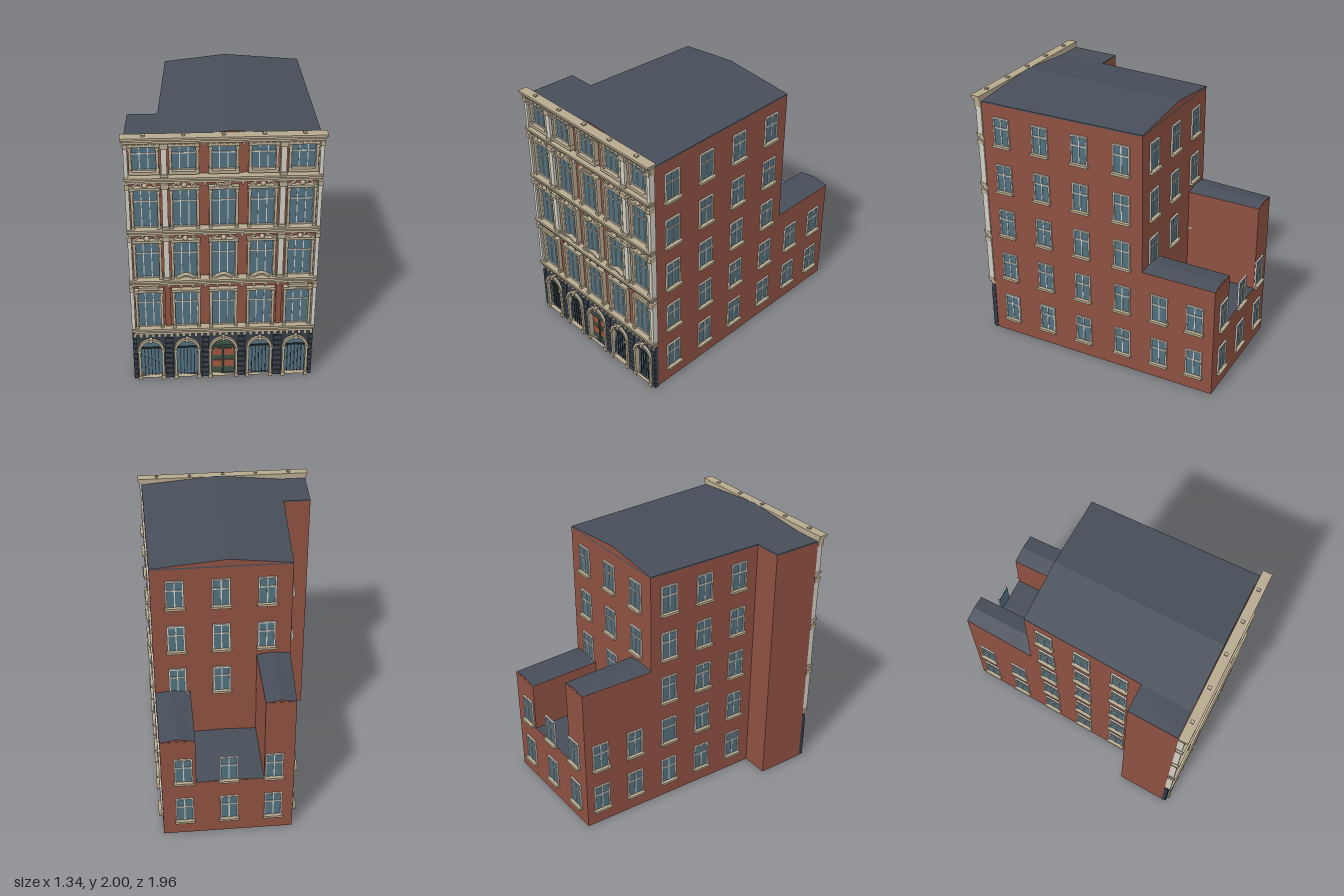
import * as THREE from 'three';

const mat = (color) => new THREE.MeshStandardMaterial({ color, side: THREE.DoubleSide });
const BRICK = mat(0x8f5142), ROOF = mat(0x474e59), GLASS = mat(0x50707f), STONE = mat(0xb6a98f);
const WHITE = mat(0xd0ccc2), SLATE = mat(0x353d47), GREEN = mat(0x3f5145), PANEL = mat(0xa2543f), IRON = mat(0x2d3338);
const FRONT = 0.9, BAYS = [-0.52, -0.26, 0, 0.26, 0.52];

function add(parent, name, geo, material, x = 0, y = 0, z = 0) {
  const m = new THREE.Mesh(geo, material);
  m.name = name;
  m.position.set(x, y, z);
  parent.add(m);
  return m;
}

// Box given by its extents
function box(parent, name, material, x0, x1, y0, y1, z0, z1) {
  return add(parent, name, new THREE.BoxGeometry(x1 - x0, y1 - y0, z1 - z0), material,
    (x0 + x1) / 2, (y0 + y1) / 2, (z0 + z1) / 2);
}

function group(parent, name) {
  const g = new THREE.Group();
  g.name = name;
  parent.add(g);
  return g;
}

// Upright block over a footprint of [x, z] corners
function block(parent, name, material, pts, y0, y1) {
  const shape = new THREE.Shape(pts.map(([x, z]) => new THREE.Vector2(x, -z)));
  const geo = new THREE.ExtrudeGeometry(shape, { depth: y1 - y0, bevelEnabled: false });
  geo.rotateX(-Math.PI / 2);
  return add(parent, name, geo, material, 0, y0, 0);
}

// Low ridged roof; each section is [left x, ridge x, right x, z], back then front
function ridgedRoof(parent, name, back, front, eave, ridge) {
  const [B, F] = [back, front].map(([l, m, r, z]) => [[l, eave, z], [m, ridge, z], [r, eave, z]]);
  const faces = (list) => {
    const geo = new THREE.BufferGeometry();
    geo.setAttribute('position', new THREE.Float32BufferAttribute(list.flat(), 3));
    geo.computeVertexNormals();
    return geo;
  };
  add(parent, name, faces([B[0], F[0], F[1], B[0], F[1], B[1], B[1], F[1], F[2], B[1], F[2], B[2]]), ROOF);
  add(parent, name + ' gables', faces([F[0], F[2], F[1], B[2], B[0], B[1]]), BRICK);
}

// Rectangle or round-headed outline standing on y = y0
function outline(w, y0, spring, arched, Type = THREE.Shape) {
  const s = new Type();
  s.moveTo(-w / 2, y0);
  s.lineTo(w / 2, y0);
  s.lineTo(w / 2, spring);
  if (arched) s.absarc(0, spring, w / 2, 0, Math.PI, false);
  else s.lineTo(-w / 2, spring);
  s.closePath();
  return s;
}
const extrude = (s, depth) => new THREE.ExtrudeGeometry(s, { depth, bevelEnabled: false, curveSegments: 14 });

function frameGeo(w, h, t, depth) {
  const s = outline(w, 0, h);
  s.holes.push(outline(w - 2 * t, t, h - t, false, THREE.Path));
  return extrude(s, depth);
}

// Plain sash window facing +z, standing on its sill
const sashFrame = frameGeo(0.13, 0.225, 0.011, 0.012);
function sash(parent, x, y, z, angle) {
  const g = group(parent, 'sashWindow');
  add(g, 'windowFrame', sashFrame, WHITE);
  box(g, 'windowGlass', GLASS, -0.06, 0.06, 0.005, 0.22, -0.004, 0.004);
  box(g, 'mullion', WHITE, -0.004, 0.004, 0.01, 0.215, 0, 0.009);
  box(g, 'transom', WHITE, -0.055, 0.055, 0.142, 0.152, 0, 0.009);
  box(g, 'windowSill', STONE, -0.073, 0.073, -0.006, 0.012, 0, 0.03);
  g.position.set(x, y, z);
  g.rotation.y = angle;
}

// Upper front window in its stone surround
function frontWindow(parent, x, y0, y1) {
  const g = group(parent, 'frontWindow'), h = y1 - y0;
  box(g, 'windowGlass', GLASS, -0.08, 0.08, 0, h, 0, 0.006);
  add(g, 'windowFrame', frameGeo(0.166, h, 0.008, 0.014), WHITE);
  for (const s of [-1, 1]) {
    box(g, 'mullion', WHITE, s * 0.028 - 0.003, s * 0.028 + 0.003, 0, h, 0, 0.012);
    box(g, 'jamb', STONE, s * 0.088 - 0.009, s * 0.088 + 0.009, 0, h, 0, 0.035);
    box(g, 'jambCapital', STONE, s * 0.088 - 0.013, s * 0.088 + 0.013, h - 0.02, h, 0, 0.042);
    box(g, 'jambBase', STONE, s * 0.088 - 0.012, s * 0.088 + 0.012, 0, 0.02, 0, 0.04);
  }
  box(g, 'transom', WHITE, -0.08, 0.08, h * 0.67, h * 0.67 + 0.008, 0, 0.012);
  box(g, 'lintel', STONE, -0.102, 0.102, h, h + 0.018, 0, 0.035);
  g.position.set(x, y0, FRONT);
}

// Moulded band across the front with a row of blocks under it
function band(parent, name, y0, y1, reach, half, step) {
  const g = group(parent, name), h = y1 - y0;
  box(g, 'bandFrieze', STONE, -half + 0.012, half - 0.012, y0, y0 + h * 0.45, FRONT, FRONT + reach * 0.65);
  box(g, 'bandCrown', STONE, -half + 0.006, half - 0.006, y0 + h * 0.4, y0 + h * 0.75, FRONT, FRONT + reach * 0.85);
  box(g, 'bandTop', STONE, -half, half, y0 + h * 0.7, y1, FRONT, FRONT + reach);
  const n = Math.round((2 * half - 0.04) / step);
  for (let i = 0; i <= n; i++) {
    const x = -half + 0.02 + (i * (2 * half - 0.04)) / n;
    box(g, 'dentil', STONE, x - 0.008, x + 0.008, y0 - 0.025, y0, FRONT, FRONT + reach * 0.55);
  }
}

// Segmental pediment over a window
function pediment(parent, x, y) {
  const s = new THREE.Shape();
  s.moveTo(0.065, 0);
  s.quadraticCurveTo(0, 0.06, -0.065, 0);
  s.lineTo(-0.045, 0);
  s.quadraticCurveTo(0, 0.035, 0.045, 0);
  s.closePath();
  add(parent, 'archedPediment', extrude(s, 0.04), STONE, x, y, FRONT);
}

// Round medallion held by curved brackets
const archBracket = new THREE.TorusGeometry(0.07, 0.007, 6, 12, Math.PI * 0.42);
function medallion(parent, x, y) {
  const disc = add(parent, 'medallion', new THREE.SphereGeometry(0.019, 14, 10), STONE, x, y, FRONT + 0.035);
  disc.scale.z = 0.8;
  for (const s of [-1, 1]) {
    const b = add(parent, 'curvedBracket', archBracket, STONE, x + s * 0.025, y - 0.055, FRONT + 0.03);
    b.scale.x = s;
  }
}

function groundFloor(parent) {
  const g = group(parent, 'groundFloor');
  const wall = new THREE.Shape([[-0.65, 0], [0.645, 0], [0.645, 0.4], [-0.65, 0.4]].map((p) => new THREE.Vector2(...p)));
  for (const x of BAYS) {
    const w = x ? 0.15 : 0.17, spring = x ? 0.265 : 0.262;
    const hole = outline(w, 0.015, spring, true, THREE.Path).getPoints(14).map((p) => p.add(new THREE.Vector2(x, 0)));
    wall.holes.push(new THREE.Path(hole));
    const surround = outline(w + 0.036, 0.015, spring, true);
    surround.holes.push(outline(w, 0.015, spring, true, THREE.Path));
    add(g, 'archSurround', extrude(surround, 0.045), STONE, x, 0, FRONT);
    add(g, x ? 'archGlass' : 'doorFanlight', extrude(outline(w, 0.015, spring, true), 0.006), x ? GLASS : GREEN, x, 0, FRONT);
    box(g, 'keystone', STONE, x - 0.012, x + 0.012, spring + w / 2 - 0.004, spring + w / 2 + 0.03, FRONT, FRONT + 0.055);
    for (const s of [-1, 1]) {
      const jx = x + s * (w / 2 + 0.009);
      box(g, 'archImpost', STONE, jx - 0.014, jx + 0.014, spring - 0.012, spring + 0.006, FRONT, FRONT + 0.052);
      box(g, 'archPlinth', STONE, jx - 0.014, jx + 0.014, 0, 0.035, FRONT, FRONT + 0.052);
    }
    if (x) {
      for (let i = -2; i <= 2; i++) box(g, 'windowBar', IRON, x + i * 0.025 - 0.003, x + i * 0.025 + 0.003, 0.015, 0.265, FRONT, FRONT + 0.014);
      box(g, 'archTransom', IRON, x - 0.075, x + 0.075, 0.258, 0.268, FRONT, FRONT + 0.016);
    } else {
      box(g, 'doorRail', GREEN, -0.085, 0.085, 0.25, 0.268, FRONT, FRONT + 0.022);
      box(g, 'doorStile', GREEN, -0.006, 0.006, 0.015, 0.26, FRONT, FRONT + 0.02);
      for (const s of [-0.043, 0.043]) for (const y of [0.075, 0.18])
        box(g, 'doorPanel', PANEL, s - 0.032, s + 0.032, y, y + 0.06, FRONT, FRONT + 0.014);
    }
  }
  add(g, 'slateWall', extrude(wall, 0.026), SLATE, 0, 0, FRONT);
  // Rusticated blocks on the piers
  for (const [x, w] of [[-0.635, 0.028], [-0.39, 0.06], [-0.13, 0.05], [0.13, 0.05], [0.39, 0.06], [0.63, 0.028]])
    for (let i = 0; i < 8; i++)
      box(g, 'pierBlock', SLATE, x - w / 2, x + w / 2, 0.004 + i * 0.046, 0.042 + i * 0.046, FRONT, FRONT + 0.036);
}

function facade(parent) {
  const g = group(parent, 'frontFacade');
  groundFloor(g);
  band(g, 'shopCornice', 0.4, 0.46, 0.055, 0.652, 0.043);
  band(g, 'firstBand', 0.825, 0.88, 0.06, 0.652, 0.086);
  band(g, 'secondBand', 1.235, 1.29, 0.06, 0.652, 0.086);
  band(g, 'thirdBand', 1.64, 1.69, 0.06, 0.652, 0.086);
  band(g, 'topCornice', 1.935, 1.987, 0.072, 0.667, 0.043);
  const floors = [[0.46, 0.765], [0.88, 1.175], [1.29, 1.585], [1.725, 1.905]];
  for (const x of BAYS) {
    for (const [y0, y1] of floors) frontWindow(g, x, y0, y1);
    box(g, 'topSill', STONE, x - 0.1, x + 0.1, 1.705, 1.727, FRONT, FRONT + 0.04);
    box(g, 'corniceKnob', STONE, x - 0.012, x + 0.012, 1.98, 1.997, FRONT + 0.02, FRONT + 0.045);
    medallion(g, x, 1.212);
    if (x) medallion(g, x, 1.625);
    if (Math.abs(x) < 0.3) pediment(g, x, 0.88);
    else box(g, 'flatHood', STONE, x - 0.07, x + 0.07, 0.793, 0.815, FRONT, FRONT + 0.045);
  }
  pediment(g, 0, 1.6);
  // Pilasters between and at the ends of the bays
  for (const s of [-1, 1]) {
    box(g, 'brickPilaster', BRICK, s * 0.39 - 0.02, s * 0.39 + 0.02, 0.46, 0.825, FRONT, FRONT + 0.015);
    for (const [y0, y1] of [[0.88, 1.235], [1.29, 1.64], [1.69, 1.935]]) {
      box(g, 'pilaster', WHITE, s * 0.39 - 0.019, s * 0.39 + 0.019, y0, y1, FRONT, FRONT + 0.045);
      box(g, 'pilasterCapital', STONE, s * 0.39 - 0.027, s * 0.39 + 0.027, y1 - 0.035, y1, FRONT, FRONT + 0.055);
      box(g, 'pilasterBase', STONE, s * 0.39 - 0.025, s * 0.39 + 0.025, y0, y0 + 0.02, FRONT, FRONT + 0.05);
    }
    for (const [y0, y1] of [[0.46, 0.825], [0.88, 1.235], [1.29, 1.64], [1.69, 1.935]]) {
      box(g, 'cornerPilaster', WHITE, s * 0.637 - 0.013, s * 0.637 + 0.013, y0, y1, FRONT, FRONT + 0.045);
      box(g, 'cornerCapital', STONE, s * 0.637 - 0.016, s * 0.637 + 0.016, y1 - 0.035, y1, FRONT, FRONT + 0.055);
    }
  }
}

export function createModel() {
  const model = new THREE.Group();
  model.name = 'townhouse';
  const rightX = (z) => 0.64 + (z - 0.9) * 0.0162;
  const leftX = (z) => -0.43 - (z - 0.52) * 0.0576;

  // Main body and its roof
  block(model, 'mainWalls', BRICK, [[-0.65, FRONT], [0.64, FRONT], [rightX(-0.39), -0.39], [leftX(-0.39), -0.39], [-0.43, 0.52], [-0.635, 0.52]], 0, 1.935);
  block(model, 'eaves', ROOF, [[-0.65, 0.895], [0.64, 0.895], [rightX(-0.39), -0.39], [leftX(-0.39), -0.39], [-0.43, 0.52], [-0.635, 0.52]], 1.935, 1.945);
  ridgedRoof(model, 'mainRoof', [leftX(-0.39), 0.07, rightX(-0.39), -0.39], [leftX(0.895), 0.05, 0.64, 0.895], 1.945, 1.995);

  // Rear wings around a low middle part
  const rear = (name, l0, l1, r0, r1, h, rise) => {
    block(model, name + 'Walls', BRICK, [[l0, -0.39], [r0, -0.39], [r1, -0.955], [l1, -0.955]], 0, h);
    ridgedRoof(model, name + 'Roof', [l1, (l1 + r1) / 2, r1, -0.955], [l0, (l0 + r0) / 2, r0, -0.389], h + 0.002, h + rise);
  };
  rear('leftRear', leftX(-0.39), leftX(-0.955), -0.13, -0.13, 1.18, 0.02);
  rear('middleRear', -0.13, -0.13, 0.36, 0.36, 0.49, 0.01);
  rear('rightRear', 0.36, 0.36, rightX(-0.39), rightX(-0.955), 0.88, 0.02);

  // Side and rear windows; the rear extension has only the two lowest rows
  const rows = [0.12, 0.497, 0.873, 1.247, 1.62];
  rows.forEach((y, i) => {
    const low = i < 2;
    for (const z of [0.74, 0.42, 0.1, -0.23, ...(low ? [-0.53, -0.81] : [])]) sash(model, rightX(z), y, z, Math.PI / 2 + 0.016);
    for (const z of [0.36, 0.06, -0.24, ...(low ? [-0.54, -0.83] : [])]) sash(model, leftX(z), y, z, -Math.PI / 2 - 0.057);
    for (const x of [-0.2, 0.125, 0.45]) sash(model, x, y, low ? -0.955 : -0.39, Math.PI);
  });

  facade(model);
  return model;
}
